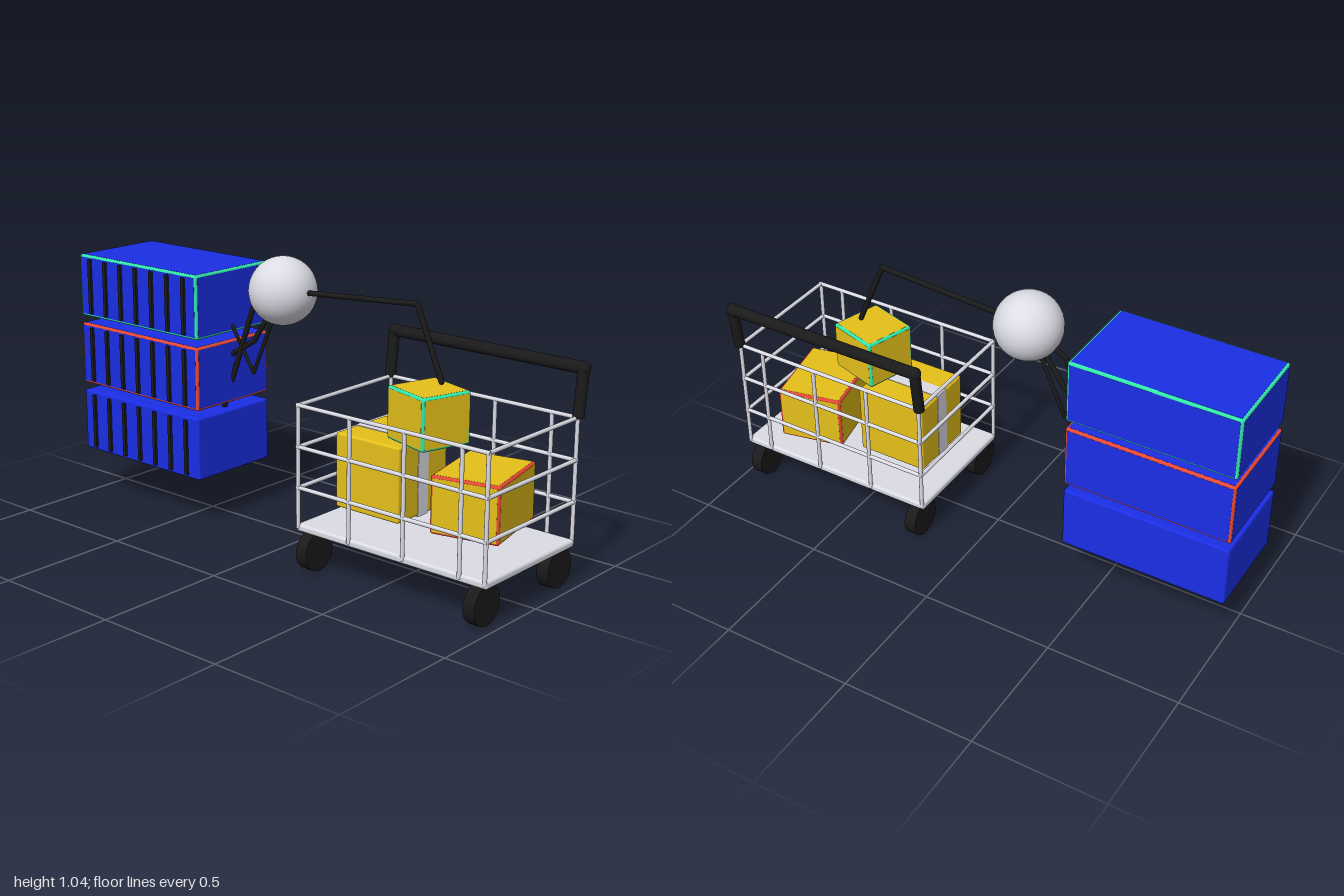
import * as THREE from 'three';
import { RoundedBoxGeometry } from 'three/addons/geometries/RoundedBoxGeometry.js';

const paint = (name, color) => Object.assign(new THREE.MeshStandardMaterial({ color }), { name });

export function createModel() {
  const blue = paint('container blue', 0x1a2ee6);
  const yellow = paint('parcel yellow', 0xe6c01a);
  const green = paint('trim green', 0x33eeb0);
  const red = paint('trim red', 0xf24c38);
  const black = paint('rubber black', 0x1a1a1a);
  const silver = paint('metal silver', 0xdcdce6);

  const model = new THREE.Group();
  model.name = 'cratesArmAndCart';
  const Z = 0.009; // depth of the shared middle plane

  const group = (name, parent = model) => {
    const g = new THREE.Group();
    g.name = name;
    parent.add(g);
    return g;
  };
  const add = (parent, name, geometry, material, x = 0, y = 0, z = 0) => {
    const m = new THREE.Mesh(geometry, material);
    m.name = name;
    m.position.set(x, y, z);
    parent.add(m);
    return m;
  };
  // Round bar between two points
  const rod = (parent, name, a, b, r, material, sides = 12) => {
    const p = new THREE.Vector3(...a), q = new THREE.Vector3(...b);
    const dir = q.clone().sub(p);
    const m = add(parent, name, new THREE.CylinderGeometry(r, r, dir.length(), sides), material);
    m.position.copy(p).add(q).multiplyScalar(0.5);
    m.quaternion.setFromUnitVectors(new THREE.Vector3(0, 1, 0), dir.normalize());
  };
  // Jointed limb: rods with a ball at each joint
  const limb = (parent, name, points, r) => {
    for (let i = 1; i < points.length; i++) {
      rod(parent, name + 'Segment', points[i - 1], points[i], r, black);
      add(parent, name + 'Joint', new THREE.SphereGeometry(r, 12, 8), black, ...points[i]);
    }
  };
  // Box with rounded edges; a trim colour shows along all twelve edges
  const crate = (parent, name, [w, h, d], [x, y, z], body, trim, turn = 0) => {
    const g = group(name, parent);
    g.position.set(x, y, z);
    g.rotation.y = turn;
    const e = 0.009, t = 0.001;
    add(g, 'shell', new RoundedBoxGeometry(w, h, d, 3, e), trim);
    if (trim !== body) {
      add(g, 'sidePanels', new THREE.BoxGeometry(w + t, h - 2 * e, d - 2 * e), body);
      add(g, 'topBottomPanels', new THREE.BoxGeometry(w - 2 * e, h + t, d - 2 * e), body);
      add(g, 'frontBackPanels', new THREE.BoxGeometry(w - 2 * e, h - 2 * e, d + t), body);
    }
    return g;
  };

  // Stack of ribbed containers
  const stack = group('containerStack');
  [blue, red, green].forEach((trim, i) => {
    const c = crate(stack, 'container', [0.63, 0.24, 0.378], [-0.685, 0.304 + i * 0.269, Z], blue, trim);
    for (let k = 0; k < 7; k++) {
      add(c, 'rib', new THREE.BoxGeometry(0.015, 0.212, 0.009), black, -0.254 + k * 0.0845, 0, 0.1945);
    }
  });

  // Ball body with gripping limbs on one side and a reaching arm on the other
  const robot = group('robot');
  const hub = [-0.116, 0.915, Z];
  add(robot, 'body', new THREE.SphereGeometry(0.125, 40, 28), silver, ...hub);
  limb(robot, 'upperGripper', [hub, [-0.265, 0.83, Z], [-0.42, 0.42, Z]], 0.01);
  limb(robot, 'middleGripper', [hub, [-0.262, 0.705, Z], [-0.385, 0.63, Z]], 0.01);
  limb(robot, 'lowerGripper', [hub, [-0.265, 0.583, Z], [-0.385, 0.765, Z]], 0.007);
  limb(robot, 'arm', [hub, [0.492, 0.957, Z], [0.598, 0.707, Z]], 0.01);

  // Wire cart
  const cart = group('cart');
  const [x0, x1, zb, zf] = [0.182, 0.975, -0.244, 0.262];
  const top = 0.601;
  add(cart, 'floor', new RoundedBoxGeometry(0.81, 0.028, 0.512, 3, 0.01), silver, 0.579, 0.157, Z);
  for (const y of [0.304, 0.452, top]) {
    for (const z of [zb, zf]) rod(cart, 'longRail', [x0 - 0.006, y, z], [x1 + 0.006, y, z], 0.0075, silver);
    for (const x of [x0, x1]) rod(cart, 'crossRail', [x, y, zb], [x, y, zf], 0.0075, silver);
  }
  for (const x of [x0, 0.41, 0.642, 0.874, x1]) {
    for (const z of [zb, zf]) rod(cart, 'upright', [x, 0.155, z], [x, top, z], 0.0075, silver);
  }

  // Push handle
  const handle = group('pushHandle', cart);
  const barY = 0.768, barZ = -0.265;
  for (const x of [0.179, 0.977]) {
    rod(handle, 'handlePost', [x, 0.6, zb], [x, barY, barZ], 0.02, black, 20);
    add(handle, 'handleCorner', new THREE.SphereGeometry(0.0235, 20, 12), black, x, barY, barZ);
  }
  rod(handle, 'handleBar', [0.179, barY, barZ], [0.977, barY, barZ], 0.022, black, 20);

  // Wheels
  for (const x of [0.22, 0.935]) {
    for (const z of [-0.202, 0.22]) {
      rod(cart, 'wheel', [x - 0.023, 0.0715, z], [x + 0.023, 0.0715, z], 0.0715, black, 36);
    }
  }

  // Parcels
  const parcels = group('parcels', cart);
  const taped = crate(parcels, 'tapedParcel', [0.278, 0.272, 0.272], [0.39, 0.356, Z], yellow, yellow);
  add(taped, 'tapeBand', new THREE.BoxGeometry(0.282, 0.276, 0.056), silver);
  crate(parcels, 'redEdgedParcel', [0.25, 0.207, 0.31], [0.749, 0.323, -0.037], yellow, red, 0.21);
  crate(parcels, 'greenEdgedParcel', [0.207, 0.187, 0.2], [0.558, 0.589, 0.023], yellow, green, -0.29);

  return model;
}
